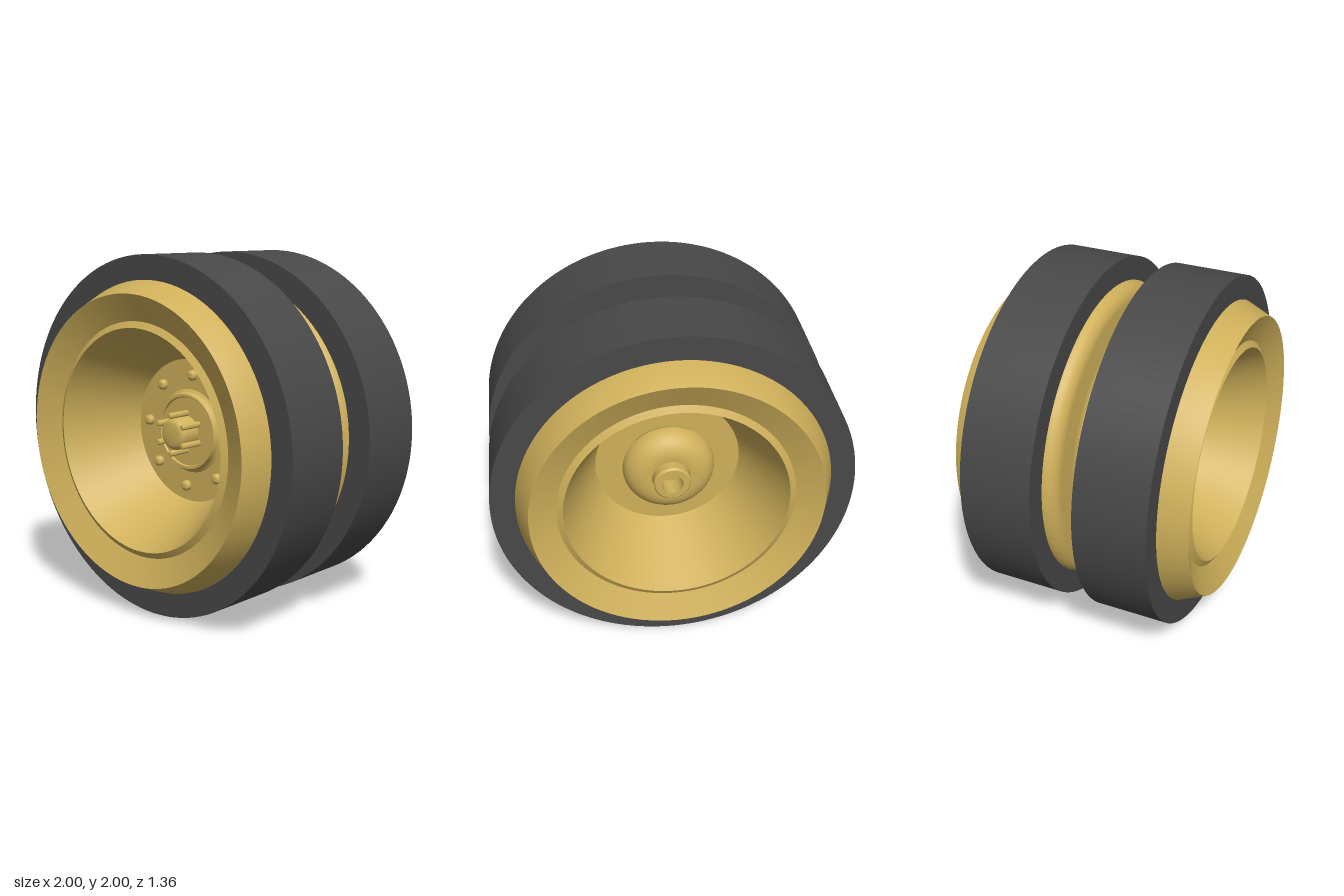
import * as THREE from 'three';
import { toCreasedNormals } from 'three/addons/utils/BufferGeometryUtils.js';

const gold = new THREE.MeshStandardMaterial({ color: 0xcfb05a });
const rubber = new THREE.MeshStandardMaterial({ color: 0x484848 });

// Turn a [radius, z] profile around the axle (z axis)
function turned(name, profile, material, segments = 96) {
  const points = profile.map(([r, z]) => new THREE.Vector2(r, z));
  const geometry = new THREE.LatheGeometry(points, segments).rotateX(Math.PI / 2);
  const mesh = new THREE.Mesh(toCreasedNormals(geometry, 0.5), material);
  mesh.name = name;
  return mesh;
}

// Points along an arc in the [radius, z] plane, angles in degrees
function arc(r, z, radiusR, radiusZ, from, to, steps = 8) {
  return Array.from({ length: steps + 1 }, (_, i) => {
    const a = THREE.MathUtils.degToRad(from + (to - from) * i / steps);
    return [r + radiusR * Math.cos(a), z + radiusZ * Math.sin(a)];
  });
}

// Ring of identical studs with domed ends
function studRing(name, count, ringRadius, startAngle, radius, z0, z1, dome) {
  const group = new THREE.Group();
  group.name = name;
  for (let i = 0; i < count; i++) {
    const a = startAngle + i * Math.PI * 2 / count;
    const stud = turned('stud', [[radius, z0], ...arc(0, z1 - dome, radius, dome, 0, 90, 5)], gold, 16);
    stud.position.set(ringRadius * Math.cos(a), ringRadius * Math.sin(a), 0);
    group.add(stud);
  }
  return group;
}

export function createModel() {
  const model = new THREE.Group();
  model.name = 'twinRoadWheel';
  const wheel = new THREE.Group();
  wheel.name = 'wheel';
  wheel.position.y = 1;
  model.add(wheel);

  // Rear dish: bowl, sloped face, bevel, then the rounded inner shoulder
  wheel.add(turned('rearRim', [
    [0, -0.21], [0.41, -0.21], [0.615, -0.63], [0.65, -0.61], [0.8, -0.68],
    [0.865, -0.53], [0.865, -0.12],
    ...arc(0.78, -0.13, 0.085, 0.08, 10, 90),
    ...arc(0.66, 0, 0.08, 0.05, 270, 180),
  ], gold));

  // Front dish: spacer, inner flange, bevel, sloped face and bowl
  wheel.add(turned('frontRim', [
    [0.58, 0], [0.58, 0.05], [0.84, 0.05], [0.84, 0.09], [0.865, 0.12], [0.865, 0.53],
    [0.8, 0.68], [0.65, 0.61], [0.615, 0.63], [0.41, 0.21], [0, 0.21],
  ], gold));

  // Rubber tyres
  for (const [name, z] of [['frontTyre', 0.325], ['rearTyre', -0.325]]) {
    wheel.add(turned(name, [
      [0.86, z - 0.205], [1, z - 0.205], [1, z + 0.205], [0.86, z + 0.205],
    ], rubber, 128));
  }

  // Front hub: raised ring, central cap and studs
  wheel.add(turned('frontHubRing', [
    [0.24, 0.21], [0.225, 0.22], [0.215, 0.25], [0.2, 0.25], [0.195, 0.24], [0, 0.24],
  ], gold));
  wheel.add(turned('hubCap', [
    [0.092, 0.24], [0.092, 0.33], ...arc(0.055, 0.33, 0.037, 0.035, 0, 90, 6), [0, 0.37],
  ], gold, 48));
  wheel.add(studRing('hubCapStuds', 6, 0.107, Math.PI / 2, 0.017, 0.23, 0.38, 0.01));
  wheel.add(studRing('wheelBolts', 8, 0.323, 1.493, 0.03, 0.2, 0.245, 0.02));

  // Rear hub: bulging boss with a hollow axle socket
  wheel.add(turned('rearHub', [
    [0, -0.32], [0.06, -0.32], [0.06, -0.43], [0.095, -0.43], [0.105, -0.42], [0.105, -0.36],
    ...arc(0.13, -0.25, 0.13, 0.12, -100, 0, 10), [0.24, -0.21],
  ], gold, 64));

  return model;
}
